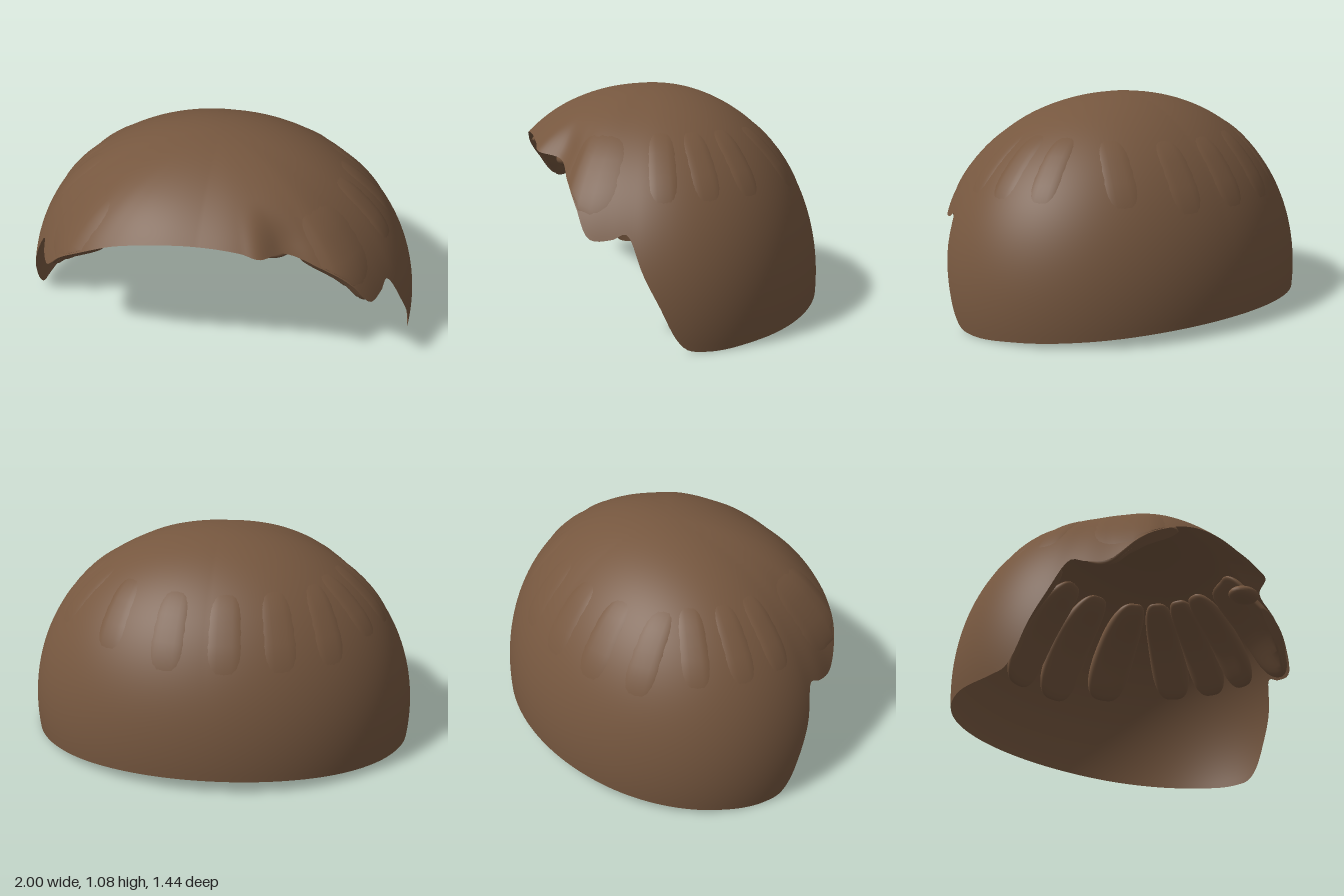
import * as THREE from 'three';

const RAD = Math.PI / 180;
const CENTER = { y: 0.13, z: 0.1 };
const HEIGHT = 0.95;

// Hairline: [azimuth in degrees (0 = front, + = left), edge height, depth at edge, depth at crown]
const back = [[69, 0.505, 0.82, 0.84], [74, 0.35, 0.82, 0.82], [79.5, 0.2, 0.82, 0.82],
  [83.5, 0.08, 0.82, 0.82], [87, 0.02, 0.82, 0.82], [92, 0.002, 0.82, 0.82], [112, 0.013, 0.82, 0.82],
  [135, 0.035, 0.82, 0.82], [160, 0.058, 0.82, 0.82], [180, 0.065, 0.82, 0.82], [200, 0.058, 0.82, 0.82]];
const front = [[-64, 0.485, 0.87, 0.92], [-58, 0.49, 0.92, 0.98], [-53, 0.6, 1.01, 1.02],
  [-43.5, 0.7, 1.01, 1.03], [-33, 0.77, 0.98, 1.0], [-16, 0.82, 0.94, 0.95], [0, 0.835, 0.92, 0.92],
  [17, 0.82, 0.93, 0.92], [24, 0.795, 0.93, 0.92], [31, 0.775, 0.82, 0.92], [43.5, 0.7, 0.86, 0.93],
  [53.5, 0.6, 0.92, 0.94], [58, 0.49, 0.9, 0.92], [64, 0.485, 0.85, 0.87]];
const hairline = [...back.map(([a, ...rest]) => [-a, ...rest]).reverse(), ...front, ...back];
const curve = new THREE.CubicInterpolant(
  hairline.map((k) => k[0]), hairline.flatMap((k) => k.slice(1)), 3, new Float32Array(3));

// Smooth hairline values at an azimuth
function sample(a) {
  const [edge, depth, crown] = curve.evaluate(((a + 540) % 360) - 180);
  return { low: Math.asin((edge - CENTER.y) / HEIGHT), depth, crown };
}

// Point on the head surface; scale moves it in or out
function surface(a, elevation, scale = 1) {
  const { depth, crown } = sample(a);
  const sa = Math.sin(a * RAD), ca = Math.cos(a * RAD);
  const r = scale * (1 + 0.015 * Math.abs(sa) * Math.sin(2 * elevation) ** 2);
  const c = Math.cos(elevation) * r;
  const fade = THREE.MathUtils.smoothstep(elevation, 44 * RAD, 62 * RAD);
  return [
    sa * c,
    CENTER.y + HEIGHT * Math.sin(elevation) * r,
    CENTER.z + THREE.MathUtils.lerp(depth, crown, fade) * ca * c,
  ];
}

// Open domed shell from the hairline up to the crown
function shellGeometry(cols = 300, rows = 48) {
  const pos = [], index = [];
  for (let j = 0; j <= rows; j++) {
    for (let i = 0; i < cols; i++) {
      const a = -180 + (360 * i) / cols;
      const { low } = sample(a);
      pos.push(...surface(a, low + (Math.PI / 2 - low) * (j / rows)));
      if (j === rows) continue;
      const n = (i + 1) % cols, r = j * cols, s = r + cols;
      index.push(r + i, r + n, s + i);
      if (j < rows - 1) index.push(r + n, s + n, s + i);
    }
  }
  const g = new THREE.BufferGeometry();
  g.setAttribute('position', new THREE.Float32BufferAttribute(pos, 3));
  g.setIndex(index);
  g.computeVertexNormals();
  return g;
}

// Thick lock wrapped on the head: a sphere bent onto the surface, kept above the hairline.
// Angles from the axis spread with height so locks hang nearly parallel.
function lockGeometry(axis, offset, halfWidth, low, high, thick) {
  const g = new THREE.SphereGeometry(1, 48, 36);
  const p = g.attributes.position;
  const boxy = (v) => Math.sign(v) * Math.pow(Math.abs(v), 0.65);
  for (let i = 0; i < p.count; i++) {
    const el = ((low + high) / 2 + ((high - low) / 2) * boxy(p.getY(i))) * RAD;
    const spread = Math.sqrt(0.94 / Math.cos(el));
    const a = axis + (offset + halfWidth * boxy(p.getX(i))) * spread;
    const clamped = Math.max(el, sample(a).low + 0.01);
    p.setXYZ(i, ...surface(a, clamped, 1.005 - thick + thick * p.getZ(i)));
  }
  g.computeVertexNormals();
  return g;
}

export function createModel() {
  const model = new THREE.Group();
  model.name = 'hair';
  const brown = new THREE.MeshStandardMaterial({ color: 0x76573f, side: THREE.DoubleSide });
  brown.name = 'brown hair';

  const add = (name, geometry) => {
    const mesh = new THREE.Mesh(geometry, brown);
    mesh.name = name;
    model.add(mesh);
    return mesh;
  };

  add('hairShell', shellGeometry());

  // Five locks across the back: [angle from the back, lowest elevation]
  [[41, 19], [23.5, 19], [6, 19], [-12, 19], [-33, 23]].forEach(([offset, low], i) =>
    add(`backLock${i + 1}`, lockGeometry(180, offset, 9, low, 62, 0.05)));

  // Side locks and the broad temple lobes, mirrored
  for (const [side, label] of [[1, 'left'], [-1, 'right']]) {
    [116, 98, 81].forEach((a, i) =>
      add(`${label}SideLock${i + 1}`, lockGeometry(side * a, 0, 8.5, 25, 62, 0.045)));
    add(`${label}TempleLobe`, lockGeometry(side * 54, 0, 14.5, 21.5, 60, 0.035));
  }

  // Small curl tucked under the fringe
  const curl = add('fringeCurl', new THREE.SphereGeometry(1, 24, 16));
  curl.scale.set(0.1, 0.04, 0.07);
  curl.position.set(0.32, 0.765, 0.56);
  curl.rotation.z = 0.1;

  return model;
}
